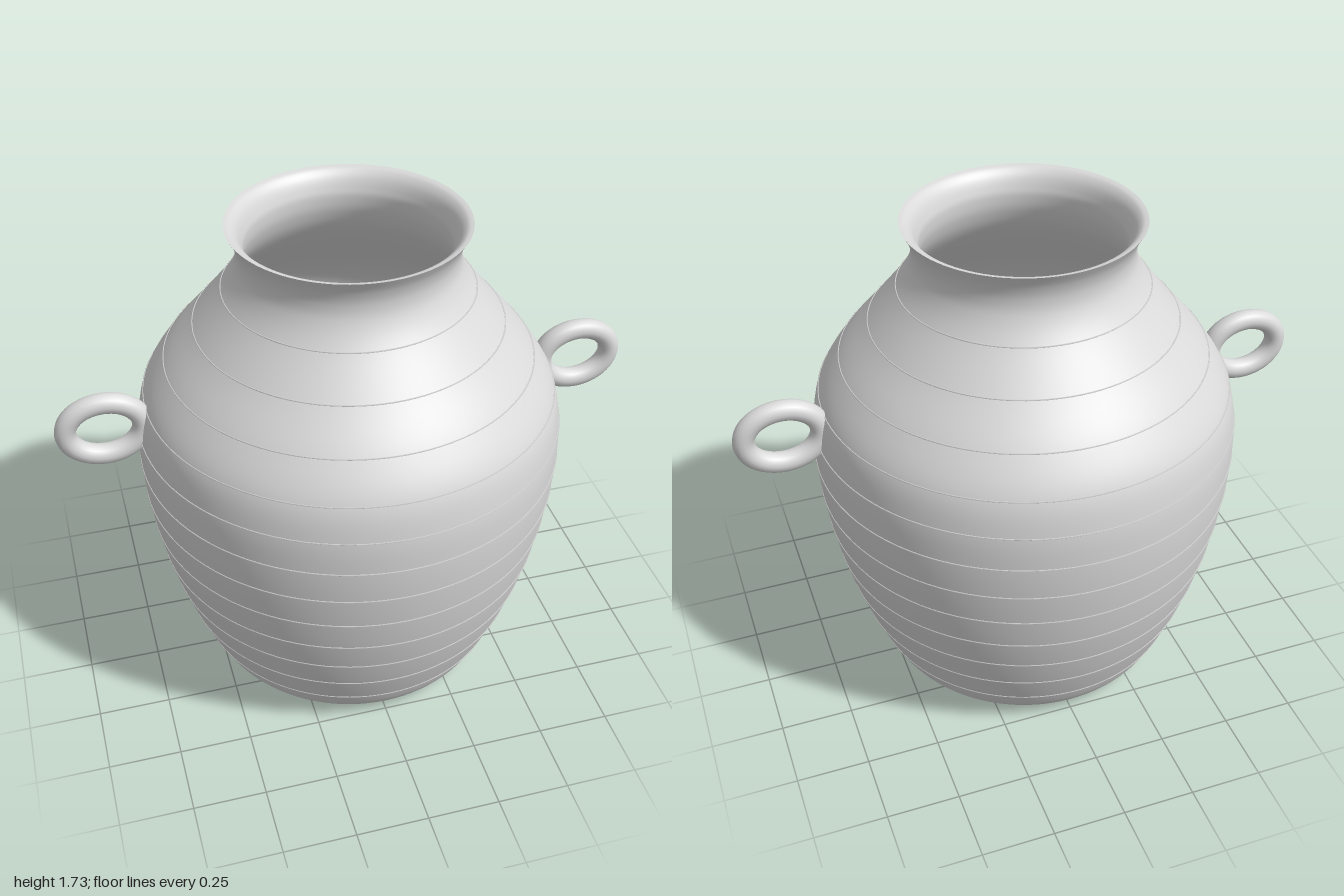
import * as THREE from 'three';

const v2 = (p) => new THREE.Vector2(p[0], p[1]);

// Smooth profile through a few [radius, height] points
const smooth = (pts, n) => new THREE.SplineCurve(pts.map(v2)).getPoints(n);

// Closed oval path for the ring handles
class Oval extends THREE.Curve {
  getPoint(t, target = new THREE.Vector3()) {
    const a = t * Math.PI * 2;
    return target.set(0.128 * Math.cos(a), 0.101 * Math.sin(a), 0);
  }
}

export function createModel() {
  const group = new THREE.Group();
  const clay = new THREE.MeshStandardMaterial({ color: 0xdadada });
  clay.name = 'grey clay';

  const add = (name, geometry) => {
    const mesh = new THREE.Mesh(geometry, clay);
    mesh.name = name;
    group.add(mesh);
    return mesh;
  };
  const lathe = (name, points) => add(name, new THREE.LatheGeometry(points, 96));

  // Outer wall, foot to flared lip
  const outer = smooth([
    [0.46, 0], [0.515, 0.06], [0.555, 0.14], [0.605, 0.265], [0.645, 0.39], [0.676, 0.51],
    [0.7, 0.635], [0.717, 0.76], [0.725, 0.88], [0.722, 1.005], [0.695, 1.13], [0.62, 1.25],
    [0.515, 1.375], [0.415, 1.5], [0.372, 1.575], [0.362, 1.63], [0.372, 1.68], [0.395, 1.725],
  ], 120);
  lathe('outerWall', outer);

  // Rounded lip and inner wall, running downward so they face inward
  lathe('lipAndInnerWall', smooth([
    [0.395, 1.725], [0.375, 1.719], [0.355, 1.698], [0.341, 1.665], [0.335, 1.63], [0.345, 1.57],
    [0.385, 1.49], [0.485, 1.365], [0.59, 1.24], [0.665, 1.12], [0.692, 1], [0.695, 0.88],
    [0.67, 0.635], [0.615, 0.39], [0.525, 0.14], [0.44, 0.03],
  ], 90));
  lathe('floor', [v2([0.44, 0.03]), v2([0, 0.03])]);
  lathe('base', [v2([0, 0]), v2([0.46, 0])]);

  // Outer radius at a given height
  const radiusAt = (y) => {
    const i = outer.findIndex((p) => p.y >= y);
    const a = outer[i - 1], b = outer[i];
    return THREE.MathUtils.lerp(a.x, b.x, (y - a.y) / (b.y - a.y));
  };

  // Fine, evenly spaced ridges around the body
  for (let i = 0; i < 12; i++) {
    const y = 0.141 + i * 0.1235;
    const ridge = add('ridge', new THREE.TorusGeometry(radiusAt(y), 0.003, 4, 96));
    ridge.rotation.x = Math.PI / 2;
    ridge.position.y = y;
  }

  // Oval ring handles
  const ring = new THREE.TubeGeometry(new Oval(), 64, 0.036, 16, true);
  for (const [name, side] of [['leftHandle', 1], ['rightHandle', -1]]) {
    add(name, ring).position.set(side * 0.836, 1.075, 0);
  }
  return group;
}
